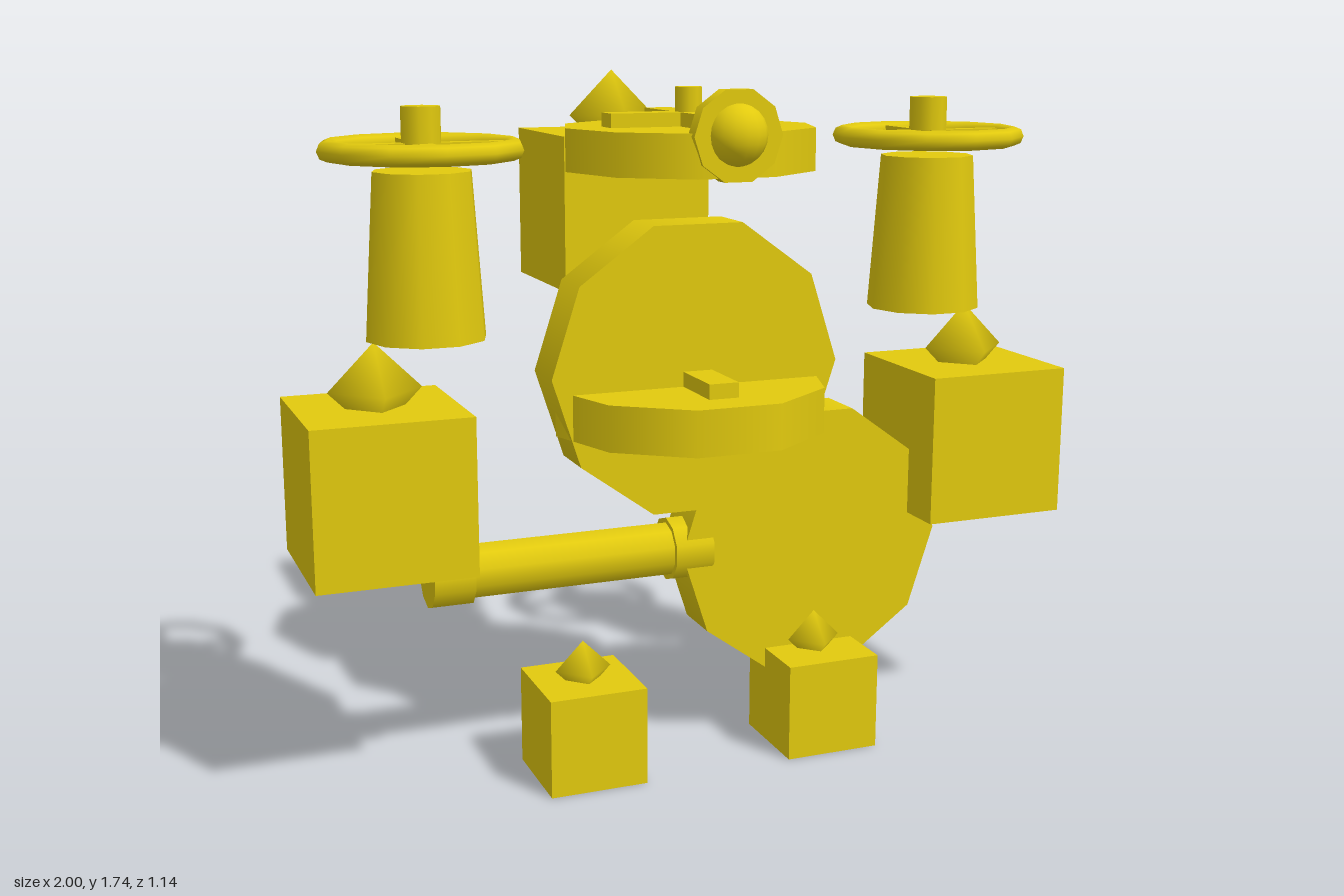
import * as THREE from 'three';

const material = new THREE.MeshStandardMaterial({ color: 0xe2ca0e });

export function createModel() {
  const model = new THREE.Group();
  model.name = 'model';

  const add = (name, geometry, x, y, z, parent = model) => {
    const mesh = new THREE.Mesh(geometry, material);
    mesh.name = name;
    mesh.position.set(x, y, z);
    parent.add(mesh);
    return mesh;
  };

  // Ten-sided cylinder with corners on the x axis
  const drum = (top, bottom, height) =>
    new THREE.CylinderGeometry(top, bottom, height, 10).rotateY(Math.PI / 2);

  // Cube with a half-sunk octahedral gem on top
  const gemBox = (name, size, gem, x, y, z) => {
    const group = new THREE.Group();
    group.name = name;
    group.position.set(x, y, z);
    add('box', new THREE.BoxGeometry(size, size, size), 0, size / 2, 0, group);
    add('gem', new THREE.SphereGeometry(gem, 4, 2), 0, size + gem * 0.36, 0, group);
    model.add(group);
  };

  // Flat drum with crossed bars and a centre knob
  const crossDrum = (name, s, y) => {
    const group = new THREE.Group();
    group.name = name;
    group.position.set(0, y, 0.2);
    group.scale.setScalar(s);
    add('drum', drum(0.32, 0.32, 0.105), 0, 0.0525, 0, group);
    add('crossBar', new THREE.BoxGeometry(0.43, 0.035, 0.07), 0, 0.122, 0, group);
    add('crossBar', new THREE.BoxGeometry(0.07, 0.035, 0.43), 0, 0.122, 0, group);
    add('knob', drum(0.034, 0.034, 0.1), 0, 0.15, 0, group);
    model.add(group);
  };

  gemBox('backBox', 0.412, 0.122, 0, 1.163, -0.365);
  crossDrum('topDrum', 1, 1.515);
  crossDrum('middleDrum', 1.106, 0.86);

  for (const side of [-1, 1]) {
    gemBox('shoulderBox', 0.39, 0.115, side * 0.805, 0.582, 0.2);
    gemBox('footBox', 0.252, 0.073, side * 0.322, 0, 0.3);

    // Tapered pillars with handwheels floating above
    add('pillar', drum(0.12, 0.147, 0.4), side * 0.675, 1.33, 0.2);
    const wheel = new THREE.Group();
    wheel.name = 'handwheel';
    wheel.position.set(side * 0.675, 1.58, 0.2);
    add('rim', new THREE.TorusGeometry(0.222, 0.025, 8, 12).rotateX(Math.PI / 2), 0, 0, 0, wheel);
    add('spoke', new THREE.BoxGeometry(0.43, 0.03, 0.035), 0, 0, 0, wheel);
    add('spoke', new THREE.BoxGeometry(0.035, 0.03, 0.43), 0, 0, 0, wheel);
    add('hub', drum(0.048, 0.048, 0.115), 0, 0.0425, 0, wheel);
    model.add(wheel);
  }

  // Upright discs
  const upright = (radius, depth) => drum(radius, radius, depth).rotateX(Math.PI / 2);
  add('upperDisc', upright(0.385, 0.14), 0, 1.017, 0.2);
  add('lowerDisc', upright(0.365, 0.14), 0.325, 0.535, 0.2);

  // Horizontal arm with a collar at each end
  const rod = (radius, length) => drum(radius, radius, length).rotateZ(Math.PI / 2);
  add('arm', rod(0.07, 0.64), -0.325, 0.535, 0.2);
  for (const x of [-0.64, -0.007]) add('armCollar', rod(0.083, 0.104), x, 0.535, 0.2);

  // Lamp on the front of the top drum
  add('lampPlate', upright(0.112, 0.04), 0, 1.613, 0.493);
  add('lampBulb', new THREE.SphereGeometry(0.076, 16, 12), 0, 1.615, 0.492);

  return model;
}
